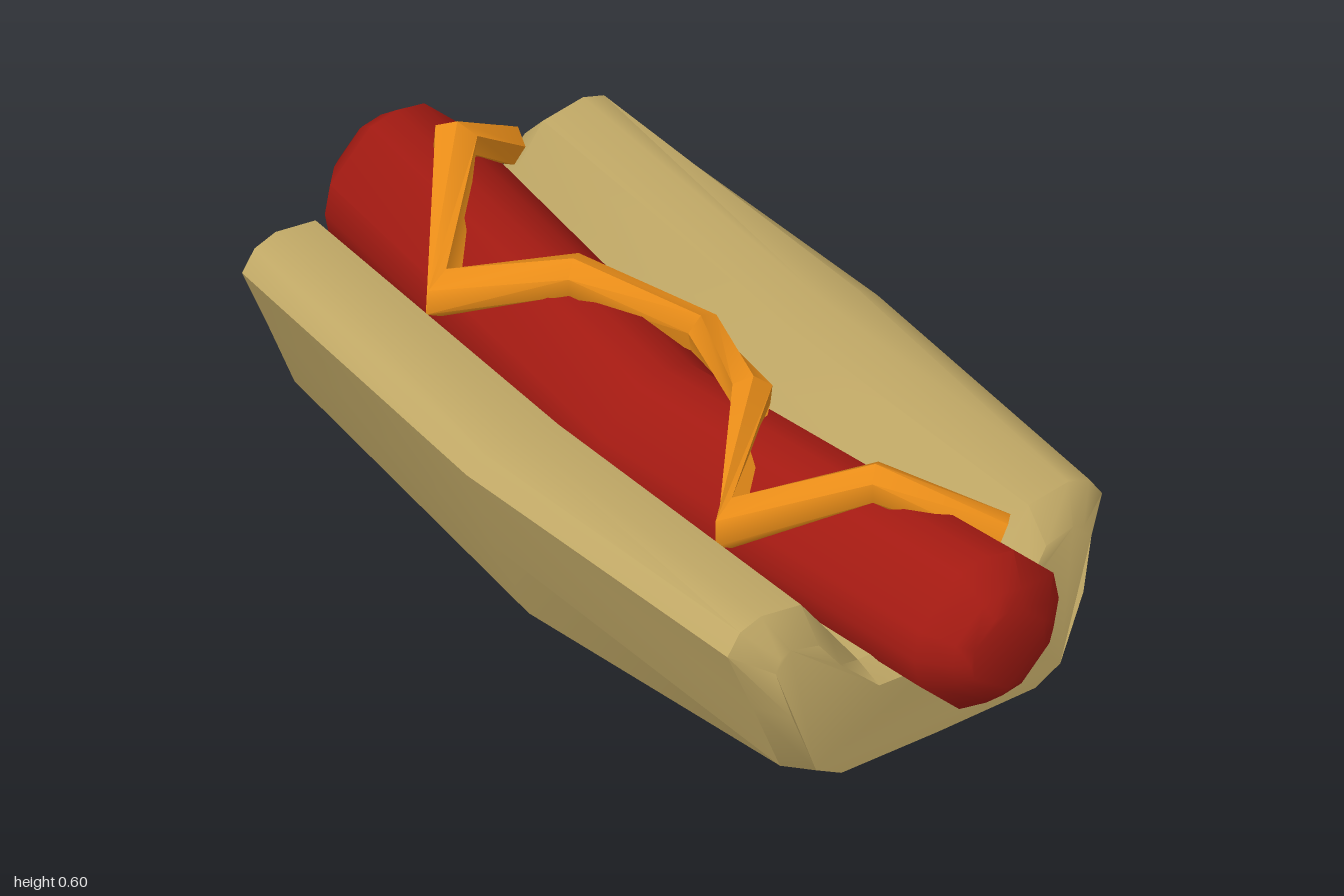
import * as THREE from 'three';
import { toCreasedNormals } from 'three/addons/utils/BufferGeometryUtils.js';

const V = (x, y, z) => new THREE.Vector3(x, y, z);

// Skin a list of equal-length rings and close both ends; outlines are counter-clockwise 2D end shapes.
function loft(rings, startOutline, endOutline, crease) {
  const n = rings[0].length, last = (rings.length - 1) * n, index = [];
  for (let i = 0; i < rings.length - 1; i++) {
    for (let j = 0; j < n; j++) {
      const a = i * n + j, b = i * n + (j + 1) % n;
      index.push(a, b, b + n, a, b + n, a + n);
    }
  }
  for (const [a, b, c] of THREE.ShapeUtils.triangulateShape(startOutline, [])) index.push(a, c, b);
  for (const [a, b, c] of THREE.ShapeUtils.triangulateShape(endOutline, [])) index.push(last + a, last + b, last + c);
  const geo = new THREE.BufferGeometry().setFromPoints(rings.flat());
  geo.setIndex(index);
  return toCreasedNormals(geo, crease);
}

function part(name, geometry, color) {
  const mesh = new THREE.Mesh(geometry, new THREE.MeshStandardMaterial({ color }));
  mesh.name = name;
  return mesh;
}

const outlineYZ = ring => ring.map(p => new THREE.Vector2(p.y, p.z));

// Bun: U-shaped sections, each given as half a profile of [z, y]
function bun() {
  const middle = [[0, 0], [0.25, 0.004], [0.34, 0.04], [0.42, 0.23], [0.488, 0.43], [0.445, 0.46],
    [0.365, 0.467], [0.27, 0.455], [0.21, 0.37], [0.13, 0.265], [0, 0.265]];
  const shoulder = [[0, 0.1], [0.24, 0.102], [0.32, 0.125], [0.385, 0.29], [0.445, 0.435], [0.415, 0.48],
    [0.365, 0.497], [0.27, 0.483], [0.21, 0.4], [0.135, 0.295], [0, 0.295]];
  const tip = [[0, 0.11], [0.23, 0.113], [0.29, 0.145], [0.345, 0.29], [0.375, 0.4], [0.36, 0.425],
    [0.335, 0.435], [0.27, 0.42], [0.225, 0.36], [0.14, 0.28], [0, 0.275]];
  const ring = (half, x, lean = 0) => {
    const at = (z, y) => V(x - Math.sign(x) * lean * Math.max(0, y - 0.3), y, z);
    return [
      ...half.map(([z, y]) => at(-z, y)),
      ...half.slice(1, -1).reverse().map(([z, y]) => at(z, y)),
    ];
  };
  const rings = [ring(tip, -0.85, 0.15), ring(shoulder, -0.775), ring(middle, 0),
    ring(shoulder, 0.775), ring(tip, 0.85, 0.15)];
  return loft(rings, outlineYZ(rings[0]), outlineYZ(rings[4]), 0.75);
}

// Sausage: bent, with rounded-diamond sections [x, y, z, radius]
function sausage() {
  const angles = [];
  for (let q = 0; q < 4; q++) for (const a of [0, 22, 68]) angles.push((q * 90 + a) * Math.PI / 180);
  const rings = [
    [-1, 0.365, -0.035, 0.09], [-0.975, 0.363, -0.034, 0.12], [-0.915, 0.36, -0.028, 0.172],
    [0, 0.315, 0.018, 0.16],
    [0.915, 0.36, -0.066, 0.172], [0.975, 0.363, -0.06, 0.12], [1, 0.365, -0.057, 0.09],
  ].map(([x, y, z, r]) => angles.map(a => V(x, y + r * Math.cos(a), z + r * Math.sin(a))));
  return loft(rings, outlineYZ(rings[0]), outlineYZ(rings[6]), 0.9);
}

// Mustard: mitred zigzag strip laid over the sausage
function mustard() {
  const path = [
    V(-0.79, 0.45, -0.195), V(-0.745, 0.555, -0.04), V(-0.5, 0.43, 0.17), V(-0.3, 0.52, 0.01),
    V(-0.1, 0.43, -0.15), V(0.2, 0.51, -0.04), V(0.42, 0.425, 0.17), V(0.61, 0.545, -0.03), V(0.785, 0.45, -0.2),
  ];
  const outline = [];
  for (let k = 0; k < 6; k++) {
    const a = k * Math.PI / 3;
    outline.push(new THREE.Vector2(0.042 * Math.cos(a), 0.042 * Math.sin(a)));
  }
  const rings = path.map((p, i) => {
    const before = p.clone().sub(path[Math.max(i - 1, 0)]).normalize();
    const after = path[Math.min(i + 1, path.length - 1)].clone().sub(p).normalize();
    const along = before.clone().add(after).normalize();
    const up = V(0, p.y - 0.33, p.z + 0.02);
    up.addScaledVector(along, -up.dot(along)).normalize();
    const side = along.clone().cross(up);
    const inner = i === 0 || i === path.length - 1;
    const mitre = inner ? 1 : Math.min(1 / along.dot(after), 1.4);
    return outline.map(o => p.clone().addScaledVector(up, o.x).addScaledVector(side, o.y * mitre));
  });
  return loft(rings, outline, outline, 0.9);
}

export function createModel() {
  const group = new THREE.Group();
  group.name = 'hotDog';
  group.add(
    part('bun', bun(), 0xbfa765),
    part('sausage', sausage(), 0xa31a12),
    part('mustard', mustard(), 0xe88c18),
  );
  return group;
}
